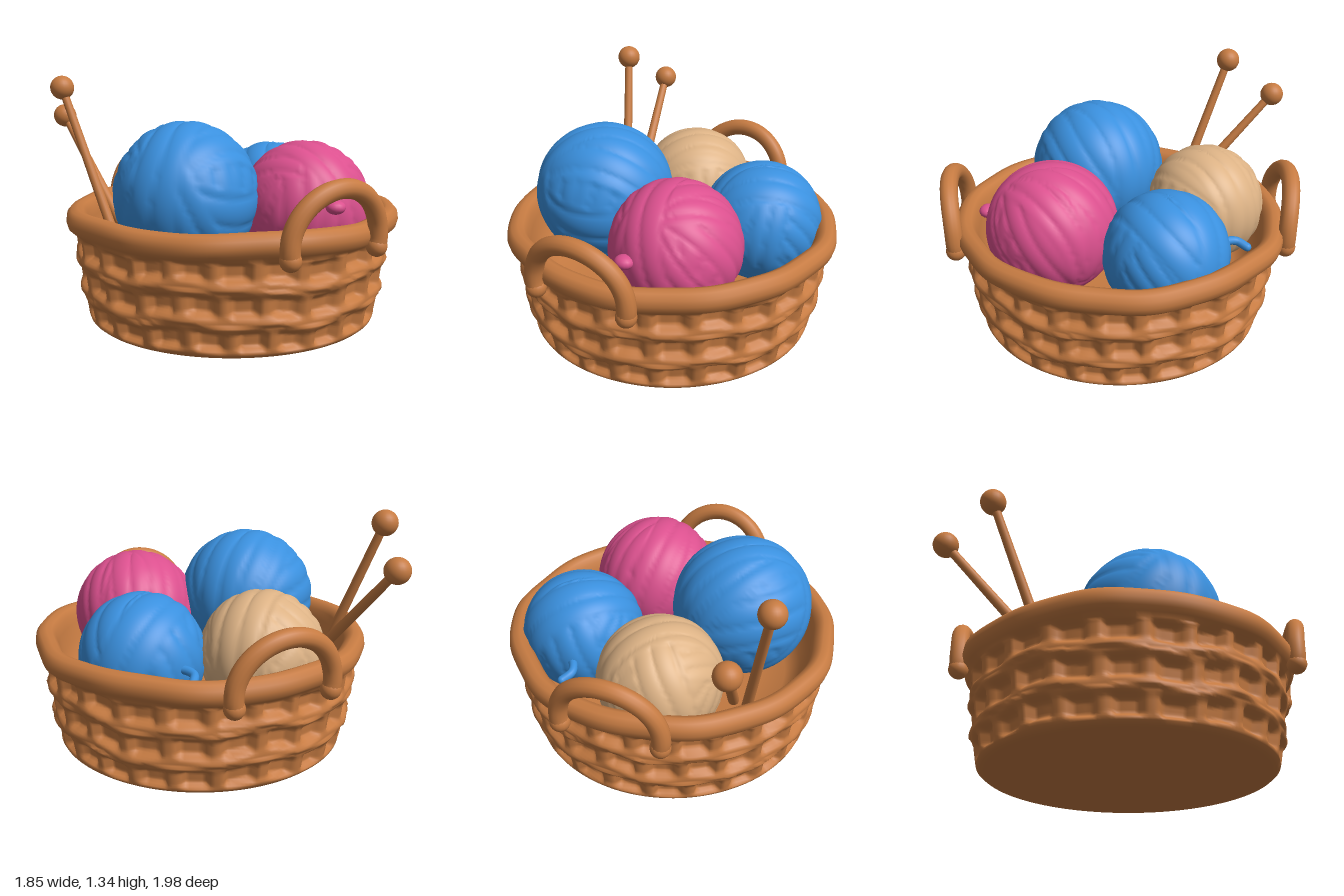
import * as THREE from 'three';
import { mergeVertices } from 'three/addons/utils/BufferGeometryUtils.js';

const mat = (name, color) => {
  const m = new THREE.MeshStandardMaterial({ color });
  m.name = name;
  return m;
};

function part(parent, name, geometry, material, pos) {
  const mesh = new THREE.Mesh(geometry, material);
  mesh.name = name;
  if (pos) mesh.position.set(...pos);
  parent.add(mesh);
  return mesh;
}

// Weld seams, move every vertex by a rule, and smooth the result
function sculpt(geometry, rule) {
  geometry.deleteAttribute('uv');
  geometry.deleteAttribute('normal');
  const g = mergeVertices(geometry, 1e-4);
  const p = g.attributes.position;
  const v = new THREE.Vector3();
  for (let i = 0; i < p.count; i++) {
    rule(v.fromBufferAttribute(p, i));
    p.setXYZ(i, v.x, v.y, v.z);
  }
  g.computeVertexNormals();
  return g;
}

const smooth = THREE.MathUtils.smoothstep;

function seeded(seed) {
  let s = seed;
  return () => (s = (s * 16807) % 2147483647) / 2147483647;
}

// Basket shell: woven outer wall, rolled rim, bowl-shaped inside
function basketGeometry() {
  const pts = [[0, 0.01], [0.4, 0.006], [0.76, 0], [0.785, 0.005]];
  for (let i = 0; i <= 44; i++) {
    const y = 0.02 + i * 0.011;
    pts.push([0.795 + 0.075 * Math.pow(y / 0.5, 0.7), y]);
  }
  pts.push([0.89, 0.52], [0.912, 0.54], [0.922, 0.575], [0.917, 0.61], [0.895, 0.635],
    [0.86, 0.643], [0.83, 0.632], [0.808, 0.6], [0.795, 0.55], [0.78, 0.47],
    [0.74, 0.37], [0.66, 0.31], [0.5, 0.28], [0.25, 0.27], [0, 0.27]);
  const lathe = new THREE.LatheGeometry(pts.map(([x, y]) => new THREE.Vector2(x, y)), 240);
  return sculpt(lathe, (v) => {
    const r = Math.hypot(v.x, v.z);
    const a = Math.atan2(v.x, v.z);
    if (r < 0.77) return;
    let d = 0;
    if (v.y > 0.015 && v.y < 0.51 && r > 0.79) {
      // Rows of hollows between horizontal strands and upright staves
      const wobble = 0.012 * Math.sin(a * 5 + 1) + 0.008 * Math.sin(a * 11);
      const y = v.y + wobble;
      const row = Math.floor((y + 0.005) / 0.18);
      const t = (y - 0.09 - row * 0.18) / 0.09;
      const across = Math.cos(a * 24 + row * 0.9 + 0.5 * Math.sin(a * 3 + row));
      const hollow = smooth(across, -0.75, -0.05) * (1 - smooth(Math.abs(t), 0.3, 0.72));
      const band = 0.018 * smooth(Math.abs(t), 0.35, 0.95) * (0.8 + 0.4 * Math.sin(a * 12 + row * 3));
      const edge = smooth(v.y, 0.015, 0.06) * (1 - smooth(v.y, 0.48, 0.51));
      d = (band - 0.04 * hollow) * edge;
    } else if (v.y > 0.51) {
      // Slightly uneven rim
      d = 0.006 * Math.sin(a * 7) + 0.004 * Math.sin(a * 13 + 2);
      v.y += 0.006 * Math.sin(a * 5 + 2);
    }
    const k = (r + d) / r;
    v.x *= k;
    v.z *= k;
  });
}

// Yarn ball: overlapping patches of parallel strands, each wound on its own axis
function yarnGeometry(radius, seed) {
  const rnd = seeded(seed);
  const wraps = [];
  for (let i = 0; i < 7; i++) {
    const axis = new THREE.Vector3(rnd() - 0.5, (rnd() - 0.5) * 0.7, rnd() - 0.5).normalize();
    wraps.push({ axis, half: i ? 0.3 + 0.2 * rnd() : 2, freq: 17 + 6 * rnd(), bend: rnd() * 6 });
  }
  return sculpt(new THREE.SphereGeometry(radius, 112, 72), (v) => {
    const n = v.clone().normalize();
    let h = 0;
    wraps.forEach(({ axis, half, freq, bend }, i) => {
      const s = n.dot(axis);
      const lat = Math.asin(THREE.MathUtils.clamp(s, -1, 1));
      const strand = Math.abs(Math.sin(lat * freq * 0.5 + 0.5 * Math.sin(n.x * 3 + n.y * 2 + bend)));
      const cover = 1 - smooth(Math.abs(s), half - 0.06, half);
      h = THREE.MathUtils.lerp(h, 0.001 * i + 0.011 * Math.sqrt(strand) - 0.008, cover);
    });
    v.addScaledVector(n, h);
  });
}

function tube(points, radius, segments = 40) {
  const curve = new THREE.CatmullRomCurve3(points.map((p) => new THREE.Vector3(...p)));
  return new THREE.TubeGeometry(curve, segments, radius, 14);
}

export function createModel() {
  const wicker = mat('wicker brown', 0xc67b42);
  const blue = mat('blue yarn', 0x3a90de);
  const pink = mat('pink yarn', 0xdb508e);
  const tan = mat('tan yarn', 0xdcb285);
  const model = new THREE.Group();
  model.name = 'yarnBasket';

  part(model, 'basket', basketGeometry(), wicker);

  // Arched handles on opposite sides, following the curve of the rim
  const arch = [];
  for (let i = 0; i <= 12; i++) {
    const t = (i / 12) * Math.PI;
    const u = -0.275 * Math.cos(t);
    arch.push([u, 0.57 + 0.27 * Math.sin(t), Math.sqrt(0.95 ** 2 - u * u) - 0.01]);
  }
  const ends = [-1, 1].map((s) => [s * 0.27, 0.52, 0.897]);
  const path = [ends[0], ...arch, ends[1]];
  ['frontHandle', 'backHandle'].forEach((name, i) => {
    const handle = new THREE.Group();
    handle.name = name;
    handle.rotation.y = 0.215 + i * Math.PI;
    part(handle, 'handleArch', tube(path, 0.049, 60), wicker);
    for (const e of ends) part(handle, 'handleEnd', new THREE.SphereGeometry(0.054, 18, 12), wicker, e);
    model.add(handle);
  });

  // Balls of yarn
  const balls = [
    ['largeBlueBall', blue, 0.38, [-0.335, 0.73, 0.2], 11],
    ['pinkBall', pink, 0.35, [0.31, 0.645, 0.31], 523],
    ['tanBall', tan, 0.328, [-0.22, 0.602, -0.46], 77],
    ['smallBlueBall', blue, 0.33, [0.39, 0.592, -0.32], 941],
  ];
  for (const [name, material, r, pos, seed] of balls) {
    part(model, name, yarnGeometry(r, seed * 7919), material, pos);
  }

  // Loose yarn ends
  part(model, 'blueYarnEnd', tube([[0.31, 0.6, -0.58], [0.24, 0.61, -0.61], [0.2, 0.6, -0.67], [0.22, 0.58, -0.73]], 0.023, 20), blue);
  part(model, 'blueYarnTip', new THREE.SphereGeometry(0.023, 12, 8), blue, [0.22, 0.58, -0.73]);
  const knot = part(model, 'pinkYarnEnd', new THREE.SphereGeometry(0.04, 16, 12), pink, [0.3, 0.7, 0.675]);
  knot.scale.set(1.3, 0.9, 1.2);

  // Knitting needles with round knobs
  const needles = [
    [[-0.845, 1.27, -0.51], [-0.6, 0.35, -0.22]],
    [[-0.785, 1.09, -0.79], [-0.57, 0.5, -0.3]],
  ];
  for (const [top, bottom] of needles) {
    const needle = new THREE.Group();
    needle.name = 'knittingNeedle';
    const a = new THREE.Vector3(...top);
    const b = new THREE.Vector3(...bottom);
    const shaft = part(needle, 'needleShaft', new THREE.CylinderGeometry(0.023, 0.03, a.distanceTo(b), 16), wicker);
    shaft.position.copy(a).add(b).multiplyScalar(0.5);
    shaft.quaternion.setFromUnitVectors(new THREE.Vector3(0, 1, 0), a.clone().sub(b).normalize());
    part(needle, 'needleKnob', new THREE.SphereGeometry(0.068, 24, 16), wicker, top);
    model.add(needle);
  }
  return model;
}
